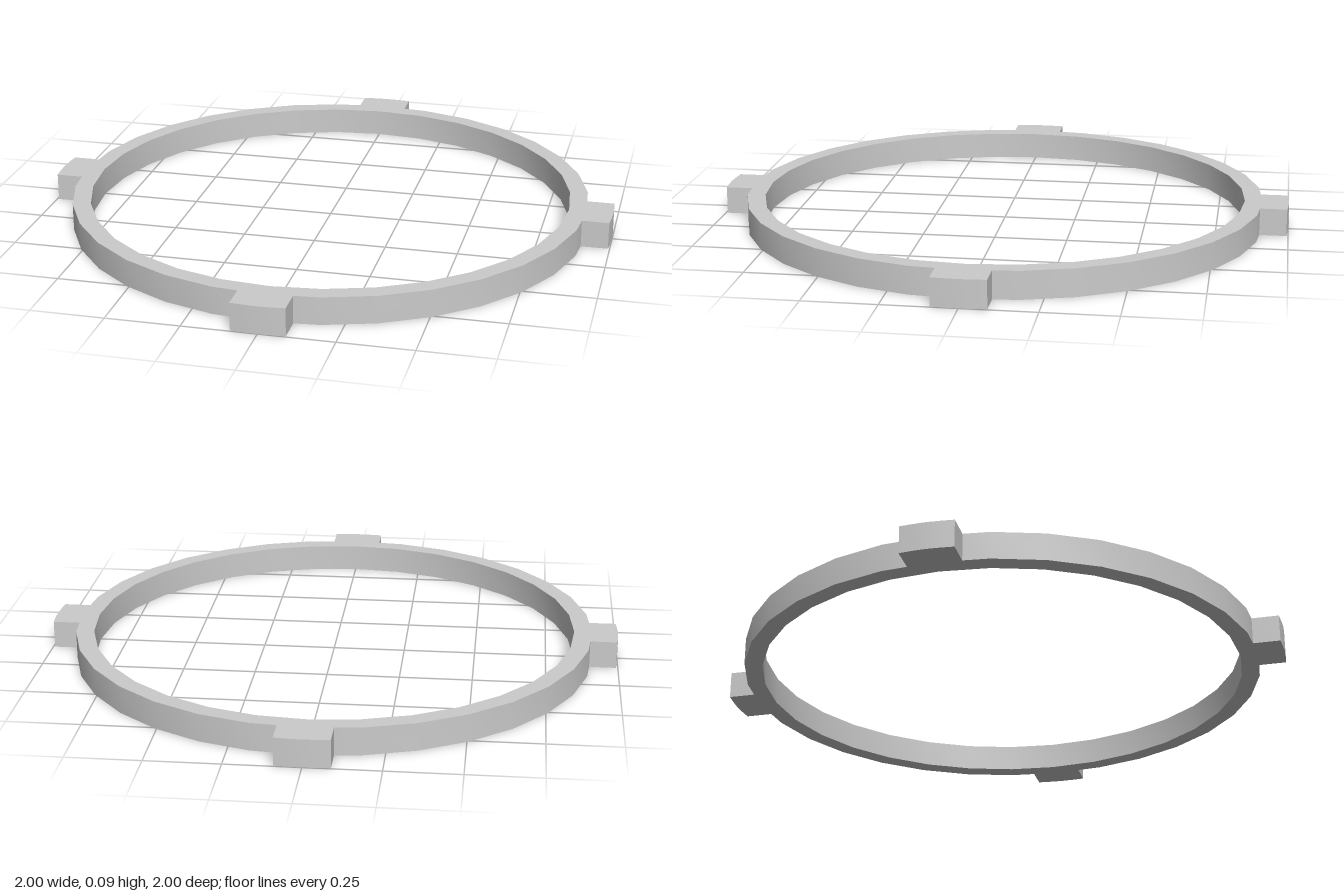
import * as THREE from 'three';
import { toCreasedNormals } from 'three/addons/utils/BufferGeometryUtils.js';

const SEGMENTS = 32;
const INNER = 0.847, OUTER = 0.91, HEIGHT = 0.095;
const TAB_HALF = 0.09;

const polar = (r, a) => new THREE.Vector2(r * Math.cos(a), r * Math.sin(a));

export function createModel() {
  const step = (Math.PI * 2) / SEGMENTS;
  const outline = [], hole = [];

  // Tab profile on the +x side: root, slightly bowed end, root
  const tab = [
    [0.901, -TAB_HALF], [0.994, -TAB_HALF], [0.998, -0.045], [1, 0],
    [0.998, 0.045], [0.994, TAB_HALF], [0.901, TAB_HALF],
  ];

  // Faceted ring outline, with a tab in place of every quarter point
  for (let i = 0; i < SEGMENTS; i++) {
    const a = i * step;
    hole.push(polar(INNER, a));
    if (i % (SEGMENTS / 4) === 0) {
      for (const [x, y] of tab) {
        outline.push(new THREE.Vector2(x, y).rotateAround(new THREE.Vector2(), a));
      }
    } else {
      outline.push(polar(OUTER, a));
    }
  }

  const shape = new THREE.Shape(outline);
  shape.holes.push(new THREE.Path(hole));

  // Lay the extrusion flat; smooth walls, sharp rims and tab corners
  let geometry = new THREE.ExtrudeGeometry(shape, { depth: HEIGHT, bevelEnabled: false });
  geometry.rotateX(-Math.PI / 2);
  geometry = toCreasedNormals(geometry, 0.6);

  const ring = new THREE.Mesh(geometry, new THREE.MeshStandardMaterial({ color: 0xcccccc }));
  ring.name = 'tabbedRing';

  const model = new THREE.Group();
  model.name = 'lockingRing';
  model.add(ring);
  return model;
}
